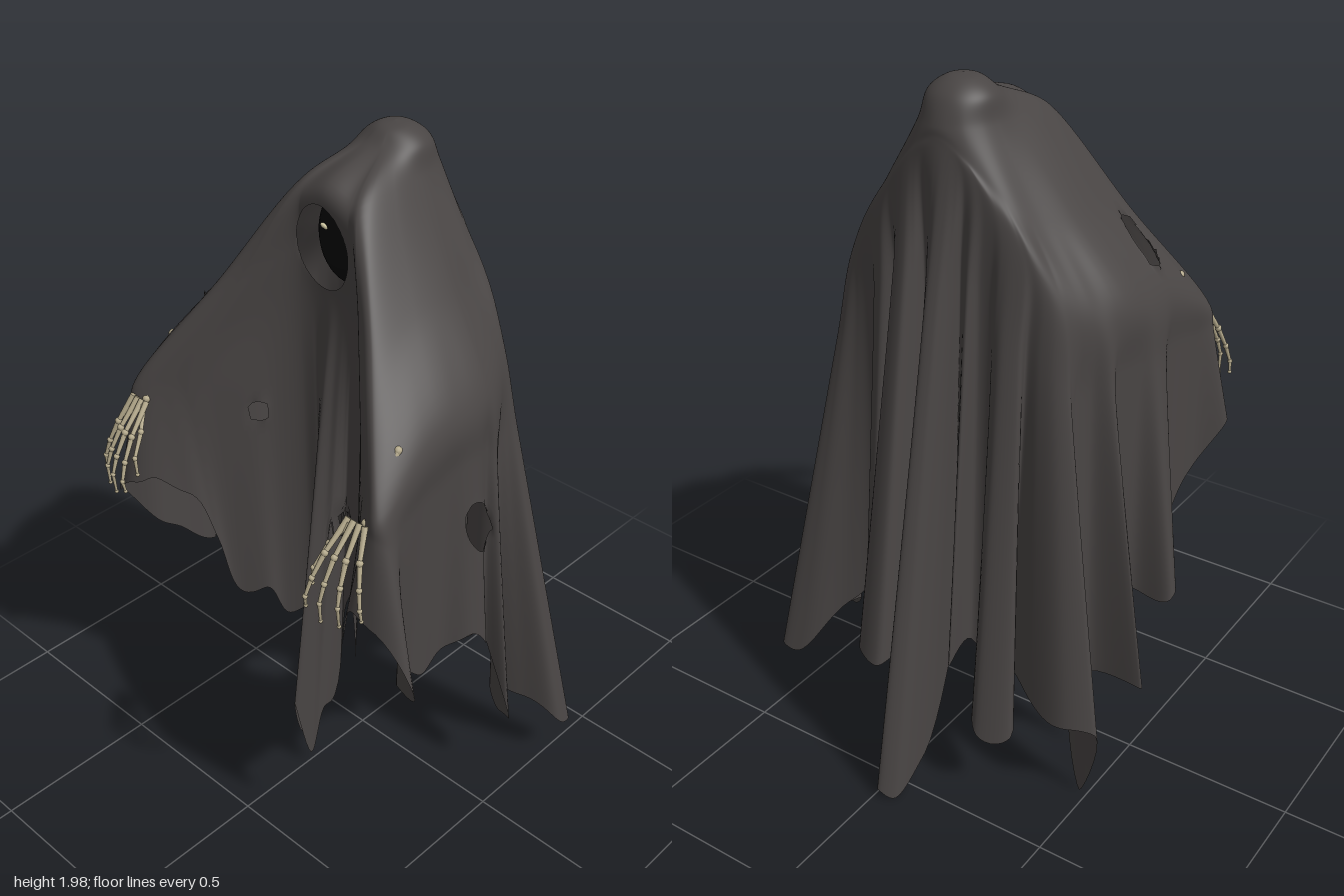
import * as THREE from 'three';

const cloth = new THREE.MeshStandardMaterial({ color: 0x494544, side: THREE.DoubleSide });
cloth.name = 'charcoal cloth';
const black = new THREE.MeshStandardMaterial({ color: 0x050505 });
black.name = 'shadow black';
const bone = new THREE.MeshStandardMaterial({ color: 0xb5aa8c });
bone.name = 'old bone';
const glow = new THREE.MeshStandardMaterial({ color: 0xe0d8b0 });
glow.name = 'pale eyes';

const V = (x, y, z) => new THREE.Vector3(x, y, z);
const loop = (pts) => new THREE.CatmullRomCurve3(pts.map((p) => V(...p)), true);
// Half a ring, front centre to back centre, completed by mirroring
const mirrored = (half) => loop([...half, ...half.slice(1, -1).reverse().map(([x, y, z]) => [-x, y, z])]);

// Hood edge
const hood = mirrored([
  [0, 1.89, 0.132], [0.08, 1.865, 0.128], [0.1, 1.875, 0.12], [0.112, 1.885, 0.09], [0.118, 1.89, 0.01],
  [0.116, 1.89, -0.07], [0.11, 1.89, -0.13], [0.095, 1.89, -0.18], [0.068, 1.89, -0.215], [0.03, 1.89, -0.235], [0, 1.89, -0.24],
]);
// Line over chest, outstretched arms and shoulders from which the cloth hangs
const drape = mirrored([
  [0, 1.58, 0.115], [0.1, 1.56, 0.13], [0.33, 1.34, 0.35], [0.45, 1.28, 0.43], [0.445, 1.39, 0.2],
  [0.43, 1.42, 0], [0.365, 1.44, -0.14], [0.29, 1.54, -0.2], [0.18, 1.68, -0.225], [0.08, 1.8, -0.24], [0, 1.84, -0.247],
]);
// Ragged, pleated hem: front centre round the left side to the back
const hemLeft = [
  [-0.015, 0.28, 0.28], [0.01, 0.07, 0.24], [0.02, 0.22, 0.19], [0.01, 0.24, 0.13], [0.06, 0.63, 0.13],
  [0.12, 0.7, 0.16], [0.17, 0.64, 0.2], [0.21, 0.62, 0.25], [0.27, 0.66, 0.31], [0.3, 0.9, 0.36],
  [0.35, 0.86, 0.44], [0.41, 1.0, 0.475], [0.49, 0.98, 0.47], [0.59, 0.8, 0.43], [0.5, 0.76, 0.4],
  [0.44, 0.7, 0.3], [0.425, 0.64, 0.22], [0.42, 0.66, 0.13], [0.46, 0.7, 0.06], [0.46, 0.62, -0.02],
  [0.42, 0.62, -0.05], [0.5, 0.3, -0.1], [0.43, 0.26, -0.14], [0.37, 0.3, -0.17], [0.45, 0.28, -0.22],
  [0.55, 0.2, -0.28], [0.55, 0.16, -0.34], [0.48, 0.17, -0.33], [0.35, 0.35, -0.25], [0.25, 0.45, -0.22],
  [0.17, 0.48, -0.26], [0.2, 0.45, -0.35], [0.16, 0.44, -0.37], [0.07, 0.44, -0.25], [0.11, 0.4, -0.36],
  [0.14, 0.4, -0.46], [0.05, 0.4, -0.49], [0.025, 0.4, -0.39], [0.03, 0.42, -0.25], [0, 0.3, -0.35],
];
// Back round the right side to the front
const hemRight = [
  [0, 0.06, -0.5], [-0.01, 0.04, -0.59], [-0.06, 0.03, -0.57], [-0.07, 0.1, -0.44], [-0.045, 0.4, -0.25],
  [-0.1, 0.38, -0.36], [-0.1, 0.4, -0.25], [-0.15, 0.36, -0.25], [-0.19, 0.3, -0.37], [-0.24, 0.24, -0.43],
  [-0.33, 0.24, -0.39], [-0.23, 0.36, -0.25], [-0.33, 0.32, -0.3], [-0.45, 0.28, -0.32], [-0.535, 0.28, -0.28],
  [-0.475, 0.02, -0.25], [-0.4, 0.32, -0.19], [-0.43, 0.36, -0.13], [-0.59, 0.35, -0.12], [-0.44, 0.45, -0.07],
  [-0.41, 0.55, -0.02], [-0.45, 0.53, 0.06], [-0.56, 0.52, 0.08], [-0.55, 0.55, 0.13], [-0.45, 0.62, 0.18],
  [-0.45, 0.7, 0.28], [-0.46, 0.8, 0.38], [-0.52, 0.92, 0.46], [-0.48, 0.95, 0.48], [-0.42, 1.0, 0.47],
  [-0.37, 1.0, 0.43], [-0.31, 0.95, 0.37], [-0.27, 0.8, 0.32], [-0.24, 0.58, 0.27], [-0.18, 0.6, 0.22],
  [-0.15, 0.5, 0.17], [-0.09, 0.52, 0.13], [-0.05, 0.55, 0.13], [-0.035, 0.22, 0.15], [-0.04, 0.1, 0.22],
];
const hem = loop([...hemLeft, ...hemRight]);

// Face opening and torn holes: axes of the ellipse, centre, radii, tilt and where it applies
const holes = [
  ['x', 'y', -0.015, 1.73, 0.085, 0.12, 0, (p) => p.z > 0],
  ['z', 'y', 0.02, 1.04, 0.05, 0.105, -0.5, (p) => p.x > 0.3],
  ['x', 'z', -0.35, 0.185, 0.06, 0.035, 0.1, (p) => p.x < 0 && p.y > 1.2],
  ['x', 'y', -0.19, 1.21, 0.025, 0.03, 0, (p) => p.z > 0.05],
  ['x', 'y', 0.05, 0.9, 0.028, 0.05, -0.4, (p) => p.z > 0.05],
];

// Moves a point inside a hole out to its edge; tells whether it did
function cutHole(p) {
  for (const [a, b, ca, cb, ra, rb, tilt, applies] of holes) {
    if (!applies(p)) continue;
    const c = Math.cos(tilt), s = Math.sin(tilt);
    const da = p[a] - ca, db = p[b] - cb;
    const m = (da * c + db * s) / ra, n = (db * c - da * s) / rb;
    const d = Math.hypot(m, n);
    if (d >= 1) continue;
    const k = 1 / Math.max(d, 0.01);
    p[a] = ca + da * k;
    p[b] = cb + db * k;
    return true;
  }
  return false;
}

function cloakGeometry() {
  const cols = 560, rows = 90, pos = [], index = [], cut = [];
  const apex = V(0, 2, -0.12);
  for (let i = 0; i < cols; i++) {
    const u = i / cols;
    const h = hood.getPoint(u), d = drape.getPoint(u), e = hem.getPoint(u);
    e.y += 0.008 * Math.sin(u * 2 * Math.PI * 53);
    // Rounded crown of the head
    const crown = (r, y) => V(h.x, 0, h.z + 0.12).setLength(r).add(V(0, y, -0.12));
    const fall = new THREE.CatmullRomCurve3([
      apex, crown(0.045, 1.991), crown(0.09, 1.957), h, h.clone().lerp(d, 0.5), d,
      d.clone().lerp(e, 0.2), d.clone().lerp(e, 0.6), e,
    ]);
    for (let j = 0; j <= rows; j++) {
      const p = fall.getPoint(j / rows);
      cut.push(cutHole(p));
      pos.push(p.x, p.y, p.z);
    }
  }
  const tri = (a, b, c) => { if (!(cut[a] && cut[b] && cut[c])) index.push(a, b, c); };
  for (let i = 0; i < cols; i++) {
    for (let j = 0; j < rows; j++) {
      const a = i * (rows + 1) + j, b = ((i + 1) % cols) * (rows + 1) + j;
      if (j > 0) tri(a, a + 1, b);
      tri(b, a + 1, b + 1);
    }
  }
  const g = new THREE.BufferGeometry();
  g.setAttribute('position', new THREE.Float32BufferAttribute(pos, 3));
  g.setIndex(index);
  g.computeVertexNormals();
  return g;
}

function addMesh(parent, name, geometry, material, at = V(0, 0, 0)) {
  const m = new THREE.Mesh(geometry, material);
  m.name = name;
  m.position.copy(at);
  parent.add(m);
  return m;
}

// A slim bone with a knob at its far end
function addBone(parent, name, from, to, r) {
  const dir = to.clone().sub(from);
  const shaft = addMesh(parent, name, new THREE.CylinderGeometry(r * 0.7, r, dir.length(), 8), bone,
    from.clone().lerp(to, 0.5));
  shaft.quaternion.setFromUnitVectors(V(0, 1, 0), dir.normalize());
  addMesh(parent, name + 'Knuckle', new THREE.SphereGeometry(r * 1.15, 8, 6), bone, to);
}

function skeletonHand(side) {
  const hand = new THREE.Group();
  hand.name = side > 0 ? 'leftHand' : 'rightHand';
  const P = (x, y, z) => V(side * x, y, z);
  addBone(hand, 'upperForearm', P(0.4, 1.42, 0.24), P(0.412, 1.408, 0.31), 0.01);
  addBone(hand, 'lowerForearm', P(0.412, 1.408, 0.31), P(0.41, 1.25, 0.42), 0.01);
  for (let f = 0; f < 4; f++) {
    // Fingers fan out, the outer ones hanging closer to the sleeve
    const s = f - 1.5, reach = 1.08 - 0.1 * Math.abs(s) - 0.13 * (s + 1.5);
    const joints = [
      P(0.405 + s * 0.018, 1.265, 0.445),
      P(0.41 + s * 0.03, 1.19, 0.45 + 0.07 * reach),
      P(0.415 + s * 0.039, 1.13, 0.45 + 0.11 * reach),
      P(0.418 + s * 0.045, 1.08, 0.45 + 0.13 * reach),
      P(0.418 + s * 0.047, 1.01 + 0.025 * Math.abs(s), 0.45 + 0.125 * reach),
    ];
    for (let k = 0; k < 4; k++) addBone(hand, 'fingerBone', joints[k], joints[k + 1], 0.0088 - k * 0.0012);
  }
  const thumb = [P(0.385, 1.255, 0.45), P(0.355, 1.2, 0.49), P(0.34, 1.14, 0.53), P(0.335, 1.09, 0.53)];
  for (let k = 0; k < 3; k++) addBone(hand, 'thumbBone', thumb[k], thumb[k + 1], 0.008 - k * 0.0012);
  return hand;
}

export function createModel() {
  const model = new THREE.Group();
  model.name = 'hoodedSpectre';
  addMesh(model, 'cloak', cloakGeometry(), cloth);

  // Dark head inside the hood
  const head = addMesh(model, 'head', new THREE.SphereGeometry(1, 32, 24), black, V(-0.015, 1.73, 0.02));
  head.scale.set(0.1, 0.135, 0.07);

  // Glinting eyes
  for (const side of [-1, 1]) {
    const eye = addMesh(model, 'eye', new THREE.SphereGeometry(1, 12, 8), glow, V(-0.015 + side * 0.037, 1.762, 0.082));
    eye.scale.set(0.016, 0.007, 0.006);
    eye.rotation.z = side * 0.15;
    model.add(skeletonHand(side));
  }
  return model;
}
